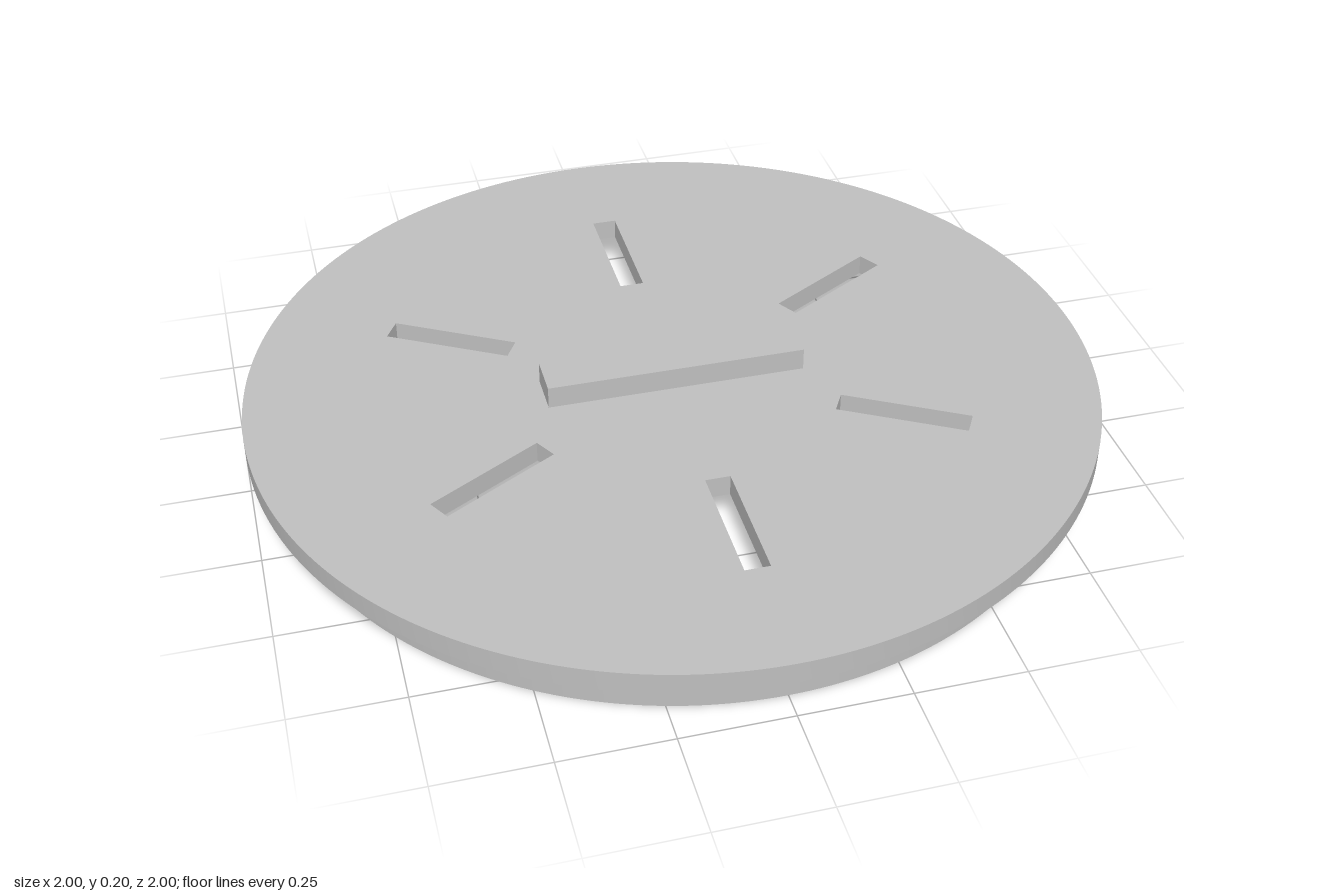
import * as THREE from 'three';
import { toCreasedNormals } from 'three/addons/utils/BufferGeometryUtils.js';

const RIM_HEIGHT = 0.095, PLATE_TOP = 0.146, HANDLE_TOP = 0.2;

function circle(radius, Type = THREE.Shape) {
  return new Type().absarc(0, 0, radius, 0, Math.PI * 2, false);
}

// Extrudes a flat outline upward from y0 to y1, smooth around curves
function slab(shape, y0, y1) {
  const geometry = new THREE.ExtrudeGeometry(shape, {
    depth: y1 - y0, bevelEnabled: false, curveSegments: 128,
  });
  geometry.rotateX(-Math.PI / 2).translate(0, y0, 0);
  return toCreasedNormals(geometry, 0.5);
}

// Radial rectangular slot at the given angle
function slot(angle, inner, outer, width) {
  const corners = [[inner, -1], [outer, -1], [outer, 1], [inner, 1]];
  const origin = new THREE.Vector2();
  return new THREE.Path(corners.map(([r, side]) =>
    new THREE.Vector2(r, side * width / 2).rotateAround(origin, angle)));
}

export function createModel() {
  const group = new THREE.Group();
  group.name = 'slottedLid';
  const grey = new THREE.MeshStandardMaterial({ color: 0xbfbfbf });
  grey.name = 'grey';

  const add = (name, geometry) => {
    const mesh = new THREE.Mesh(geometry, grey);
    mesh.name = name;
    group.add(mesh);
  };

  // Round plate pierced by six radial slots
  const plate = circle(1);
  for (let i = 0; i < 6; i++) {
    plate.holes.push(slot(Math.PI / 6 + i * Math.PI / 3, 0.4, 0.708, 0.058));
  }
  add('plate', slab(plate, RIM_HEIGHT, PLATE_TOP));

  // Hollow locating rim underneath
  const rim = circle(0.94);
  rim.holes.push(circle(0.89, THREE.Path));
  add('rim', slab(rim, 0, RIM_HEIGHT));

  // Bar handle across the top
  const handle = new THREE.BoxGeometry(0.615, HANDLE_TOP - PLATE_TOP, 0.104);
  handle.translate(0, (HANDLE_TOP + PLATE_TOP) / 2, 0);
  add('handle', handle);

  return group;
}
